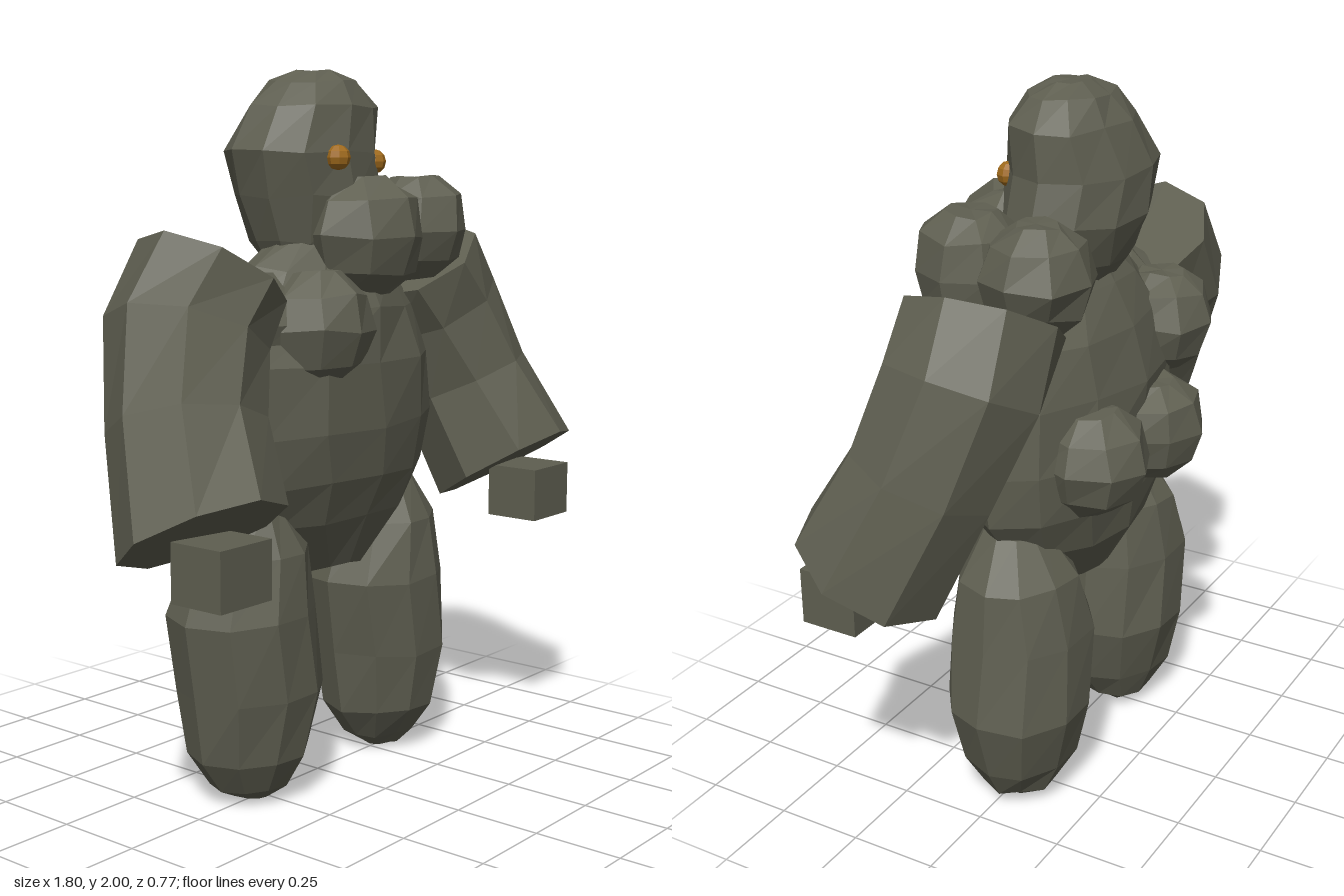
import * as THREE from 'three';

const stone = new THREE.MeshStandardMaterial({ color: 0x5e5e50, flatShading: true });
stone.name = 'mossy stone';
const amber = new THREE.MeshStandardMaterial({ color: 0xa06a1c, flatShading: true });
amber.name = 'amber';

// small seeded generator for the rough, chipped surface
let seed = 7;
const rough = (amount) => {
  seed = (seed * 16807) % 2147483647;
  return (seed / 2147483647 - 0.5) * 2 * amount;
};

// skins a stack of rings (ordered from bottom to top) and closes both ends
function skin(rings) {
  const n = rings[0].length;
  const pos = [];
  const idx = [];
  rings.forEach((ring) => ring.forEach((p) => pos.push(p.x, p.y, p.z)));
  for (let r = 0; r < rings.length - 1; r++) {
    for (let i = 0; i < n; i++) {
      const j = (i + 1) % n;
      const a = r * n + i, b = r * n + j;
      idx.push(a, b, b + n, a, b + n, a + n);
    }
  }
  [0, rings.length - 1].forEach((r) => {
    const c = new THREE.Vector3();
    rings[r].forEach((p) => c.addScaledVector(p, 1 / n));
    const k = pos.length / 3;
    pos.push(c.x, c.y, c.z);
    for (let i = 0; i < n; i++) {
      const a = r * n + i, b = r * n + (i + 1) % n;
      if (r === 0) idx.push(k, b, a);
      else idx.push(k, a, b);
    }
  });
  const geo = new THREE.BufferGeometry();
  geo.setAttribute('position', new THREE.Float32BufferAttribute(pos, 3));
  geo.setIndex(idx);
  geo.computeVertexNormals();
  return geo;
}

// upright rock from levels of [y, xMin, xMax, zMin, zMax]
function rock(levels, sides, chip) {
  return skin(levels.map(([y, x0, x1, z0, z1]) =>
    Array.from({ length: sides }, (_, i) => {
      const a = (i / sides) * Math.PI * 2;
      return new THREE.Vector3(
        (x0 + x1) / 2 + ((x1 - x0) / 2) * Math.cos(a) + rough(chip),
        y + rough(chip),
        (z0 + z1) / 2 - ((z1 - z0) / 2) * Math.sin(a) + rough(chip));
    })));
}

function boulder(r) {
  const levels = [[-0.95, 0.42], [-0.58, 0.87], [0.02, 1.03], [0.6, 0.87], [0.95, 0.42]];
  return rock(levels.map(([y, w]) => [y * r, -w * r, w * r, -w * r, w * r]), 8, r * 0.06);
}

// bent eight-sided limb from stations of [centre, axis, radius], wrist first
function limb(stations) {
  return skin(stations.map(([c, axis, r]) => {
    const d = new THREE.Vector3(...axis).normalize();
    const w = new THREE.Vector3(1, 0, 0).cross(d).normalize();
    const u = d.clone().cross(w);
    return Array.from({ length: 8 }, (_, i) => {
      const a = (i / 8) * Math.PI * 2;
      return new THREE.Vector3(...c)
        .addScaledVector(u, r * Math.cos(a) + rough(0.005))
        .addScaledVector(w, -r * Math.sin(a) + rough(0.005));
    });
  }));
}

export function createModel() {
  seed = 7;
  const model = new THREE.Group();
  model.name = 'rockGiant';
  const add = (name, geo, mat, x = 0, y = 0, z = 0) => {
    const mesh = new THREE.Mesh(geo, mat);
    mesh.name = name;
    mesh.position.set(x, y, z);
    model.add(mesh);
  };

  // torso
  add('torso', rock([
    [0.62, -0.11, 0.18, -0.13, 0.08],
    [0.77, -0.29, 0.35, -0.21, 0.16],
    [0.89, -0.37, 0.43, -0.24, 0.21],
    [1.03, -0.41, 0.45, -0.25, 0.235],
    [1.21, -0.41, 0.42, -0.25, 0.23],
    [1.36, -0.35, 0.38, -0.21, 0.2],
    [1.47, -0.25, 0.28, -0.16, 0.155],
    [1.56, -0.13, 0.15, -0.1, 0.09],
  ], 12, 0.01), stone);

  // head
  add('head', rock([
    [1.46, -0.14, 0.14, -0.12, 0.08],
    [1.54, -0.19, 0.2, -0.18, 0.12],
    [1.66, -0.23, 0.25, -0.23, 0.155],
    [1.78, -0.265, 0.22, -0.23, 0.155],
    [1.9, -0.195, 0.22, -0.18, 0.135],
    [1.97, -0.13, 0.15, -0.13, 0.09],
    [2.0, -0.06, 0.08, -0.07, 0.04],
  ], 11, 0.007), stone);

  // eyes
  [[-0.085, 1.765, 0.142], [0.105, 1.755, 0.115]].forEach((p, i) =>
    add(i ? 'leftEye' : 'rightEye', new THREE.SphereGeometry(0.034, 8, 6), amber, ...p));

  // boulders on the shoulders, chest and back
  [
    ['collarBoulder', 0.04, 1.55, 0.125, 0.168],
    ['leftShoulderFrontBoulder', 0.315, 1.565, 0.1, 0.152],
    ['leftShoulderBackBoulder', 0.335, 1.57, -0.1, 0.148],
    ['chestBoulder', -0.15, 1.31, 0.115, 0.162],
    ['rightShoulderBoulder', -0.28, 1.325, 0.0, 0.145],
    ['rightBackBoulder', -0.255, 1.295, -0.16, 0.148],
    ['middleBackBoulder', -0.08, 1.04, -0.225, 0.147],
    ['leftBackBoulder', 0.21, 1.04, -0.195, 0.153],
  ].forEach(([name, x, y, z, r]) => add(name, boulder(r), stone, x, y, z));

  // legs
  [['rightLeg', -0.285], ['leftLeg', 0.305]].forEach(([name, x]) => {
    add(name, rock([
      [0.01, -0.05, 0.06, -0.07, 0.04],
      [0.05, -0.11, 0.12, -0.13, 0.09],
      [0.14, -0.17, 0.18, -0.18, 0.145],
      [0.32, -0.2, 0.235, -0.22, 0.175],
      [0.54, -0.235, 0.205, -0.22, 0.175],
      [0.71, -0.16, 0.175, -0.185, 0.145],
      [0.84, -0.08, 0.09, -0.1, 0.08],
    ], 10, 0.007), stone, x);
  });

  // arms and square fists
  [['right', -1], ['left', 1]].forEach(([side, s]) => {
    add(side + 'Arm', limb([
      [[s * 0.675, 0.845, 0.195], [s * -0.08, 0.85, -0.5], 0.225],
      [[s * 0.61, 1.1, 0.075], [s * -0.22, 0.9, -0.32], 0.205],
      [[s * 0.525, 1.32, 0], [s * -0.42, 0.9, -0.12], 0.217],
      [[s * 0.42, 1.475, -0.005], [s * -0.5, 0.85, 0.04], 0.21],
    ]), stone);
    add(side + 'Fist', new THREE.BoxGeometry(0.185, 0.155, 0.165), stone,
      s * 0.69 + 0.01, 0.765, 0.26);
  });

  return model;
}
